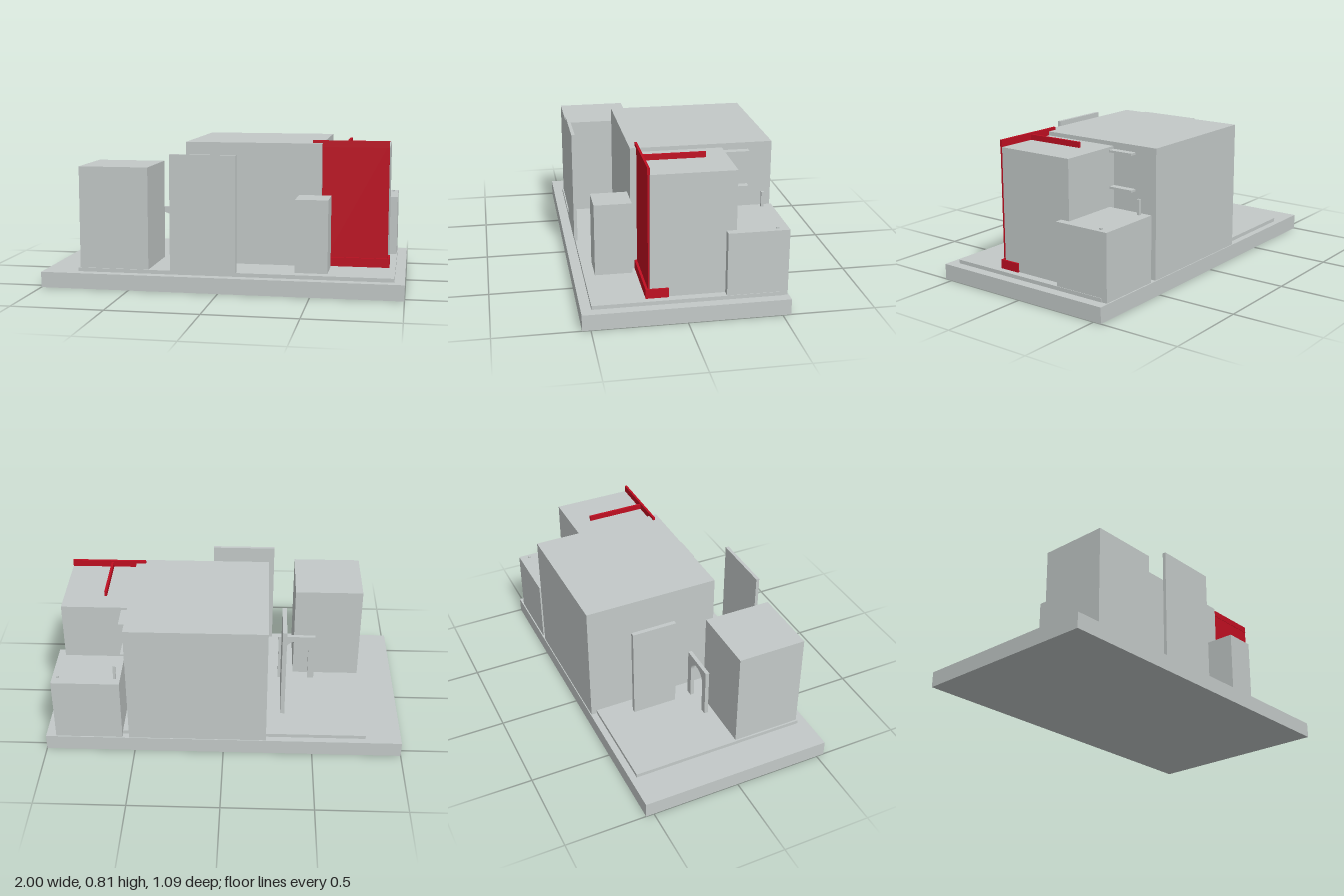
import * as THREE from 'three';

export function createModel() {
  const root = new THREE.Group();
  root.name = 'buildingBlockModel';
  const grey = new THREE.MeshStandardMaterial({ color: 0xc3c9c8 });
  grey.name = 'pale grey';
  const red = new THREE.MeshStandardMaterial({ color: 0xc00e21 });
  red.name = 'signal red';

  // Box given by its lower and upper limits on each axis
  const box = (name, mat, [x0, x1], [y0, y1], [z0, z1]) => {
    const mesh = new THREE.Mesh(new THREE.BoxGeometry(x1 - x0, y1 - y0, z1 - z0), mat);
    mesh.position.set((x0 + x1) / 2, (y0 + y1) / 2, (z0 + z1) / 2);
    mesh.name = name;
    root.add(mesh);
    return mesh;
  };
  const ground = 0.087, floor = 0.108;

  // Ground plate and raised floor
  box('groundPlate', grey, [-1, 1], [0, ground], [-0.545, 0.545]);
  box('raisedFloor', grey, [-0.8, 0.945], [ground, floor], [-0.508, 0.49]);

  // Large building volumes
  box('mainBlock', grey, [-0.24, 0.53], [ground, 0.798], [-0.54, 0.227]);
  box('sideTower', grey, [0.53, 0.9], [floor, 0.776], [-0.267, 0.182]);
  box('leftTower', grey, [-0.79, -0.4], [floor, 0.675], [0.095, 0.483]);
  box('frontAnnex', grey, [0.405, 0.585], [floor, 0.51], [0.227, 0.43]);
  box('rearAnnex', grey, [0.567, 0.942], [ground, 0.453], [-0.538, -0.214]);

  // Free-standing walls
  box('frontWall', grey, [-0.275, 0.092], [floor, 0.75], [0.476, 0.495]);
  box('sideWall', grey, [-0.345, -0.321], [floor, 0.663], [-0.318, -0.06]);

  // Ledges bridging the slot behind the side tower
  for (const y of [0.553, 0.749])
    box('slotLedge', grey, [0.53, 0.57], [y, y + 0.012], [-0.41, -0.267]);

  // Roof posts on the rear annex
  for (const [x, top] of [[0.597, 0.537], [0.911, 0.461]])
    box('roofPost', grey, [x - 0.007, x + 0.007], [0.453, top], [-0.487, -0.473]);

  // Archway: two legs joined by a half-round opening
  const s = new THREE.Shape();
  s.moveTo(-0.108, 0);
  s.lineTo(-0.07, 0);
  s.lineTo(-0.07, 0.19);
  s.absarc(0, 0.19, 0.07, Math.PI, 0, true);
  s.lineTo(0.07, 0);
  s.lineTo(0.108, 0);
  s.lineTo(0.108, 0.292);
  s.lineTo(-0.108, 0.292);
  s.closePath();
  const arch = new THREE.Mesh(
    new THREE.ExtrudeGeometry(s, { depth: 0.022, bevelEnabled: false, curveSegments: 16 }), grey);
  arch.position.set(-0.416, floor, 0.038);
  arch.name = 'archway';
  root.add(arch);

  // Red facade, its crown bar, roof fin and corner plinth
  box('redFacade', red, [0.53, 0.9], [floor, 0.805], [0.184, 0.193]);
  box('crownBar', red, [0.475, 0.9], [0.777, 0.814], [0.182, 0.195]);
  box('roofFin', red, [0.662, 0.675], [0.776, 0.806], [-0.15, 0.183]);
  box('plinthFront', red, [0.53, 0.91], [floor, 0.158], [0.193, 0.206]);
  box('plinthSide', red, [0.9, 0.91], [floor, 0.158], [0.086, 0.193]);

  return root;
}
